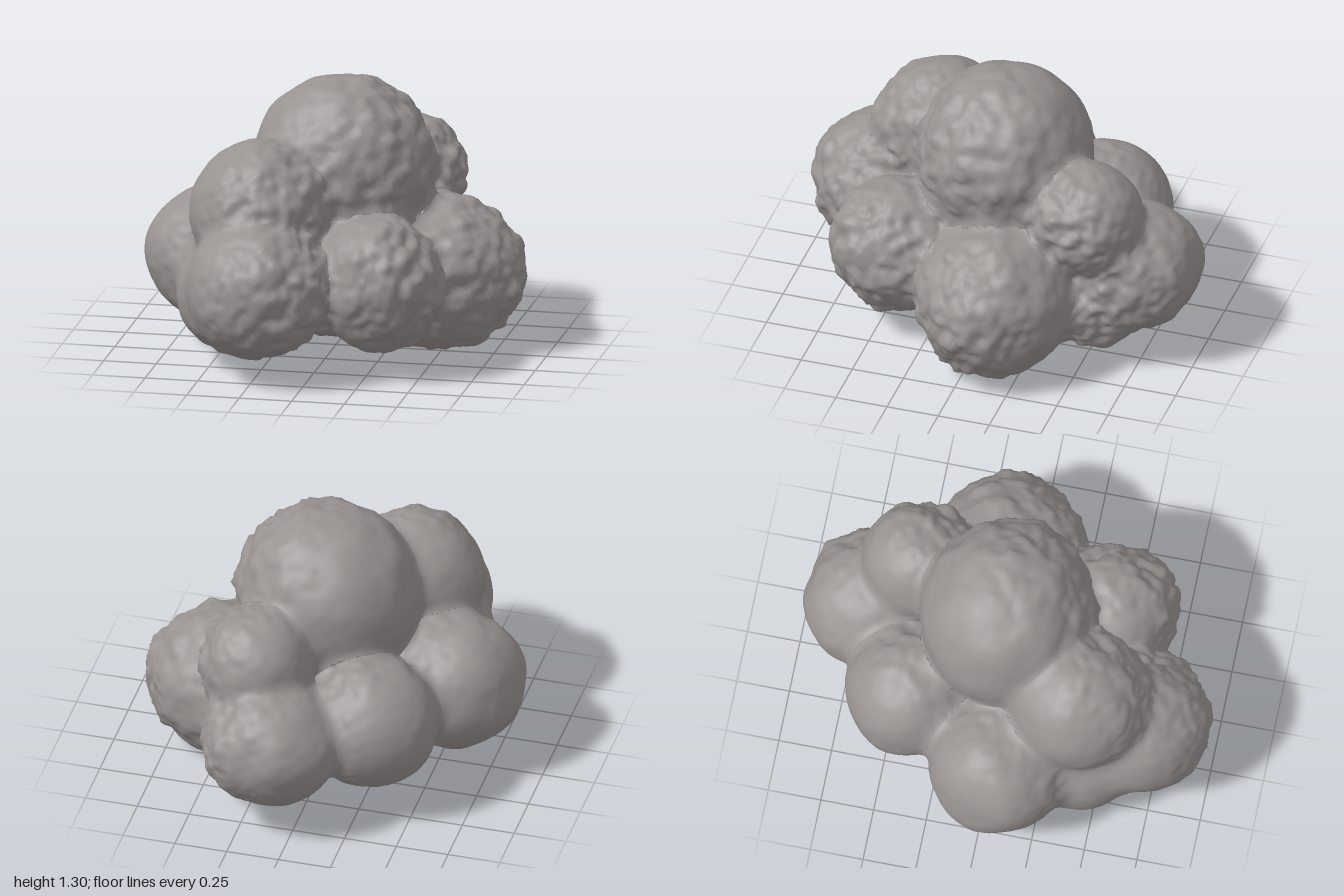
import * as THREE from 'three';
import { mergeVertices } from 'three/addons/utils/BufferGeometryUtils.js';

// name, centre, radii
const PUFFS = [
  ['crownPuff', [0.03, 0.86, -0.02], [0.43, 0.45, 0.41]],
  ['upperFrontPuff', [-0.28, 0.75, 0.38], [0.33, 0.33, 0.33]],
  ['upperBackPuff', [0.25, 0.74, -0.48], [0.27, 0.27, 0.27]],
  ['frontPuff', [-0.23, 0.45, 0.66], [0.34, 0.32, 0.33]],
  ['frontLeftPuff', [0.29, 0.44, 0.42], [0.3, 0.32, 0.32]],
  ['leftPuff', [0.46, 0.37, -0.11], [0.41, 0.36, 0.37]],
  ['rightPuff', [-0.54, 0.44, 0.06], [0.35, 0.32, 0.34]],
  ['backRightPuff', [-0.28, 0.46, -0.41], [0.32, 0.31, 0.32]],
  ['backPuff', [0.12, 0.45, -0.68], [0.32, 0.29, 0.32]],
  ['lowerFrontPuff', [-0.36, 0.36, 0.37], [0.31, 0.3, 0.36]],
  ['lowerBackPuff', [0.25, 0.3, -0.52], [0.23, 0.24, 0.24]],
  ['corePuff', [0, 0.45, 0.07], [0.38, 0.36, 0.42]],
];

// Repeatable hash and smooth 3D value noise in the range -1..1
const hash = (x, y, z) => {
  const s = Math.sin(x * 127.1 + y * 311.7 + z * 74.7) * 43758.5453;
  return (s - Math.floor(s)) * 2 - 1;
};
const mix = THREE.MathUtils.lerp;
function noise(p, scale) {
  const [x, y, z] = [p.x * scale, p.y * scale, p.z * scale];
  const ix = Math.floor(x), iy = Math.floor(y), iz = Math.floor(z);
  const [u, v, w] = [x - ix, y - iy, z - iz].map((t) => t * t * (3 - 2 * t));
  const row = (j, k) => mix(hash(ix, iy + j, iz + k), hash(ix + 1, iy + j, iz + k), u);
  return mix(mix(row(0, 0), row(1, 0), v), mix(row(0, 1), row(1, 1), v), w);
}

// Approximate distance from a point to one puff
const distance = (x, y, z, [, c, r]) =>
  (Math.hypot((x - c[0]) / r[0], (y - c[1]) / r[1], (z - c[2]) / r[2]) - 1) * Math.min(...r);

// Distance to all puffs, with the creases between them softly filled
const BLEND = 0.06;
function field(x, y, z) {
  let d = Infinity;
  for (const puff of PUFFS) {
    const e = distance(x, y, z, puff);
    const h = Math.max(BLEND - Math.abs(d - e), 0);
    d = Math.min(d, e) - h * h / (4 * BLEND);
  }
  return d;
}
function gradient({ x, y, z }, target) {
  const e = 0.004;
  return target.set(
    field(x + e, y, z) - field(x - e, y, z),
    field(x, y + e, z) - field(x, y - e, z),
    field(x, y, z + e) - field(x, y, z - e),
  ).divideScalar(2 * e);
}

// The exposed skin of one puff, crumpled most towards +x and +z
function puffSkin(puff) {
  const [, centre, radii] = puff;
  let geo = new THREE.IcosahedronGeometry(1, 20);
  geo.deleteAttribute('normal');
  geo.deleteAttribute('uv');
  geo = mergeVertices(geo, 1e-4);
  geo.scale(...radii).translate(...centre);
  const pos = geo.attributes.position;
  const p = new THREE.Vector3(), n = new THREE.Vector3();
  const buried = [];
  for (let i = 0; i < pos.count; i++) {
    p.fromBufferAttribute(pos, i);
    buried.push(PUFFS.some((other) => other !== puff && distance(p.x, p.y, p.z, other) < -0.06));
    if (buried[i]) continue;
    // Slide onto the blended surface
    for (let step = 0; step < 3; step++) {
      gradient(p, n);
      p.addScaledVector(n, -field(p.x, p.y, p.z) / Math.max(n.lengthSq(), 0.3));
    }
    gradient(p, n).normalize();
    const rough = THREE.MathUtils.clamp(0.4 + 0.5 * n.x + 0.25 * n.z, 0.1, 0.9);
    const lump = 0.012 * noise(p, 6) + rough * (0.024 * noise(p, 13) + 0.018 * noise(p, 29));
    p.addScaledVector(n, lump);
    pos.setXYZ(i, p.x, p.y, p.z);
  }
  // Drop the faces hidden inside neighbouring puffs
  const old = geo.index.array, kept = [];
  for (let i = 0; i < old.length; i += 3) {
    const face = [old[i], old[i + 1], old[i + 2]];
    if (!face.some((v) => buried[v])) kept.push(...face);
  }
  geo.setIndex(kept);
  geo.computeVertexNormals();
  return geo;
}

export function createModel() {
  const group = new THREE.Group();
  const grey = new THREE.MeshStandardMaterial({ color: 0x989391 });
  grey.name = 'warm grey';
  for (const puff of PUFFS) {
    const mesh = new THREE.Mesh(puffSkin(puff), grey);
    mesh.name = puff[0];
    group.add(mesh);
  }

  // Rest on the ground
  const bottom = Math.min(...group.children.map((mesh) => {
    mesh.geometry.computeBoundingBox();
    return mesh.geometry.boundingBox.min.y;
  }));
  for (const mesh of group.children) mesh.position.y = -bottom;
  return group;
}
